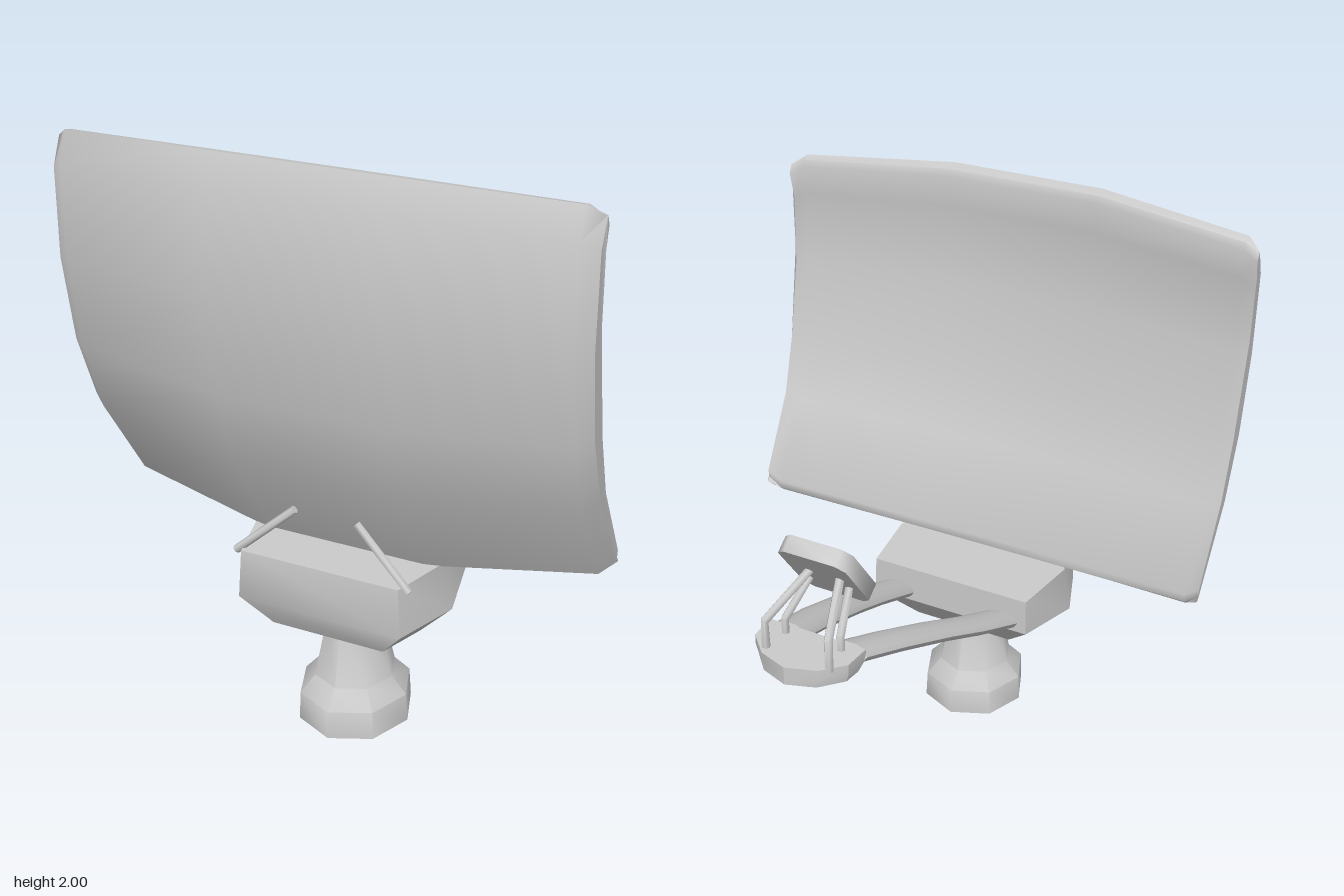
import * as THREE from 'three';
import { toCreasedNormals } from 'three/addons/utils/BufferGeometryUtils.js';

const material = new THREE.MeshStandardMaterial({ color: 0xcccccc });

function addPart(group, name, geometry, crease = 0.7) {
  const mesh = new THREE.Mesh(toCreasedNormals(geometry, crease), material);
  mesh.name = name;
  group.add(mesh);
  return mesh;
}

// Skin closed rings of [x, y, z] points and cap both ends; faces always point outward.
function loft(rings) {
  const m = rings[0].length, pts = rings.flat(), index = [];
  for (let r = 0; r < rings.length - 1; r++) {
    for (let i = 0; i < m; i++) {
      const a = r * m + i, b = r * m + (i + 1) % m;
      index.push(a, b, b + m, a, b + m, a + m);
    }
  }
  const last = (rings.length - 1) * m;
  for (let i = 0; i < m / 2 - 1; i++) {
    const a = i, b = i + 1, c = m - 2 - i, d = m - 1 - i;
    for (const [p, q, s] of [[a, d, b], [b, d, c]]) {
      if (p === q || q === s || s === p) continue;
      index.push(p, q, s, last + p, last + s, last + q);
    }
  }
  let volume = 0;
  const v = pts.map(p => new THREE.Vector3(...p));
  for (let i = 0; i < index.length; i += 3) {
    volume += v[index[i]].dot(v[index[i + 1]].clone().cross(v[index[i + 2]]));
  }
  if (volume < 0) index.reverse();
  const geometry = new THREE.BufferGeometry();
  geometry.setAttribute('position', new THREE.Float32BufferAttribute(pts.flat(), 3));
  geometry.setIndex(index);
  return geometry;
}

// Rod made of straight segments through the given points.
function rod(points, radius) {
  const rings = points.map((p, i) => {
    const at = new THREE.Vector3(...p);
    const before = new THREE.Vector3(...points[Math.max(i - 1, 0)]);
    const after = new THREE.Vector3(...points[Math.min(i + 1, points.length - 1)]);
    const dir = after.sub(before).normalize();
    const side = new THREE.Vector3(1, 0, 0).addScaledVector(dir, -dir.x).normalize();
    const up = dir.clone().cross(side);
    return Array.from({ length: 6 }, (_, k) => {
      const t = k / 6 * Math.PI * 2;
      return at.clone().addScaledVector(side, radius * Math.cos(t))
        .addScaledVector(up, radius * Math.sin(t)).toArray();
    });
  });
  return loft(rings);
}

function polygon(points) {
  return new THREE.Shape(points.map(p => new THREE.Vector2(...p)));
}

export function createModel() {
  const model = new THREE.Group();
  model.name = 'satelliteDish';

  // Reflector: a curved [z, y] section swept across bent columns
  const front = [[0.53, 0.64], [0.73, 0.98], [0.81, 1.24], [0.85, 1.57], [0.84, 1.9], [0.80, 2.0]];
  const back = [[0.755, 1.99], [0.745, 1.965], [0.77, 1.85], [0.765, 1.57], [0.71, 1.24],
    [0.65, 1.0], [0.50, 0.69], [0.505, 0.655]];
  const columns = [
    { x: 0.28, zf: 0, zb: 0, lo: 0.64, hi: 2.0 },
    { x: 0.83, zf: -0.095, zb: -0.085, lo: 0.70, hi: 1.968 },
    { x: 0.88, zf: -0.13, zb: -0.09, lo: 0.74, hi: 1.935 },
  ];
  const section = (c, side) => [[front, c.zf], [back, c.zb]].flatMap(([list, dz]) =>
    list.map(([z, y]) => [side * c.x, c.lo + (y - 0.64) / 1.36 * (c.hi - c.lo), z + dz]));
  addPart(model, 'reflector', loft([
    ...columns.slice().reverse().map(c => section(c, -1)),
    ...columns.map(c => section(c, 1)),
  ]), 0.85);

  // Housing under the reflector
  const ring = half => [
    ...half.map(([x, y, z]) => [x, y, z]),
    ...half.slice().reverse().map(([x, y, z]) => [-x, y, z]),
  ];
  addPart(model, 'housing', loft([
    ring([[0.19, 0.37, 0.36], [0.255, 0.37, 0.5], [0.2, 0.37, 0.66]]),
    ring([[0.31, 0.51, 0.24], [0.37, 0.485, 0.5], [0.29, 0.48, 0.72]]),
    ring([[0.305, 0.648, 0.24], [0.34, 0.648, 0.5], [0.28, 0.648, 0.71]]),
  ]), 0.6);

  // Pedestal
  const profile = [[0, 0], [0.205, 0], [0.2, 0.1], [0.145, 0.16], [0.095, 0.39], [0, 0.39]];
  const pedestal = addPart(model, 'pedestal',
    new THREE.LatheGeometry(profile.map(p => new THREE.Vector2(...p)), 8), 0.85);
  pedestal.scale.x = 0.95;
  pedestal.position.set(0.013, 0, 0.495);

  // Flattened feed arm: [x, y, z] centre line with oval sections
  const armPath = [[0.212, 0.538, 0.26], [0.195, 0.66, 0], [0.17, 0.755, -0.2],
    [0.138, 0.87, -0.46], [0.11, 0.95, -0.66]];
  // Bent feed struts
  const rearStrut = [[0.113, 0.96, -0.785], [0.113, 1.07, -0.785], [0.05, 1.18, -0.60]];
  const frontStrut = [[0.1, 0.96, -0.692], [0.1, 1.025, -0.692], [0.07, 1.13, -0.585]];
  const brace = [[0.31, 0.635, 0.69], [0.11, 0.81, 0.652]];

  for (const [side, label] of [[1, 'left'], [-1, 'right']]) {
    const mirror = path => path.map(([x, y, z]) => [side * x, y, z]);
    addPart(model, label + 'FeedArm', loft(mirror(armPath).map(([x, y, z]) =>
      Array.from({ length: 10 }, (_, k) => {
        const t = k / 10 * Math.PI * 2;
        return [x + 0.064 * Math.cos(t), y + 0.029 * Math.sin(t), z + 0.012 * Math.sin(t)];
      }))), 0.9);
    addPart(model, label + 'RearStrut', rod(mirror(rearStrut), 0.015), 1.1);
    addPart(model, label + 'FrontStrut', rod(mirror(frontStrut), 0.014), 1.1);
    addPart(model, label + 'Brace', rod(mirror(brace), 0.014), 1.1);
  }

  // Rounded platform at the end of the arms, with a chamfered underside
  const rim = [[0.175, -0.655], [0.168, -0.75], [0.1, -0.82], [0.0, -0.853]];
  const platformRing = (y, k, frontZ) => [...rim, ...rim.slice(0, 3).reverse().map(([x, z]) => [-x, z])]
    .map(([x, z]) => [0.008 + x * k, y, z === -0.655 ? frontZ : z]);
  addPart(model, 'feedPlatform', loft([
    platformRing(0.91, 0.95, -0.69), platformRing(0.94, 1, -0.655), platformRing(0.975, 1, -0.655),
  ].map(r => [...r, [0.008, r[0][1], r[0][2]]])), 0.6);

  // Feed head: a clipped slab tilted toward the reflector
  const w = 0.12, h = 0.142, c = 0.03;
  const feed = addPart(model, 'feedHead', new THREE.ExtrudeGeometry(polygon([
    [-w + c, -h], [w - c, -h], [w, -h + c], [w, h - c],
    [w - c, h], [-w + c, h], [-w, h - c], [-w, -h + c],
  ]), { depth: 0.058, bevelEnabled: false }).translate(0, 0, -0.029), 0.8);
  feed.rotation.x = -0.64;
  feed.position.set(0.008, 1.175, -0.58);

  return model;
}
